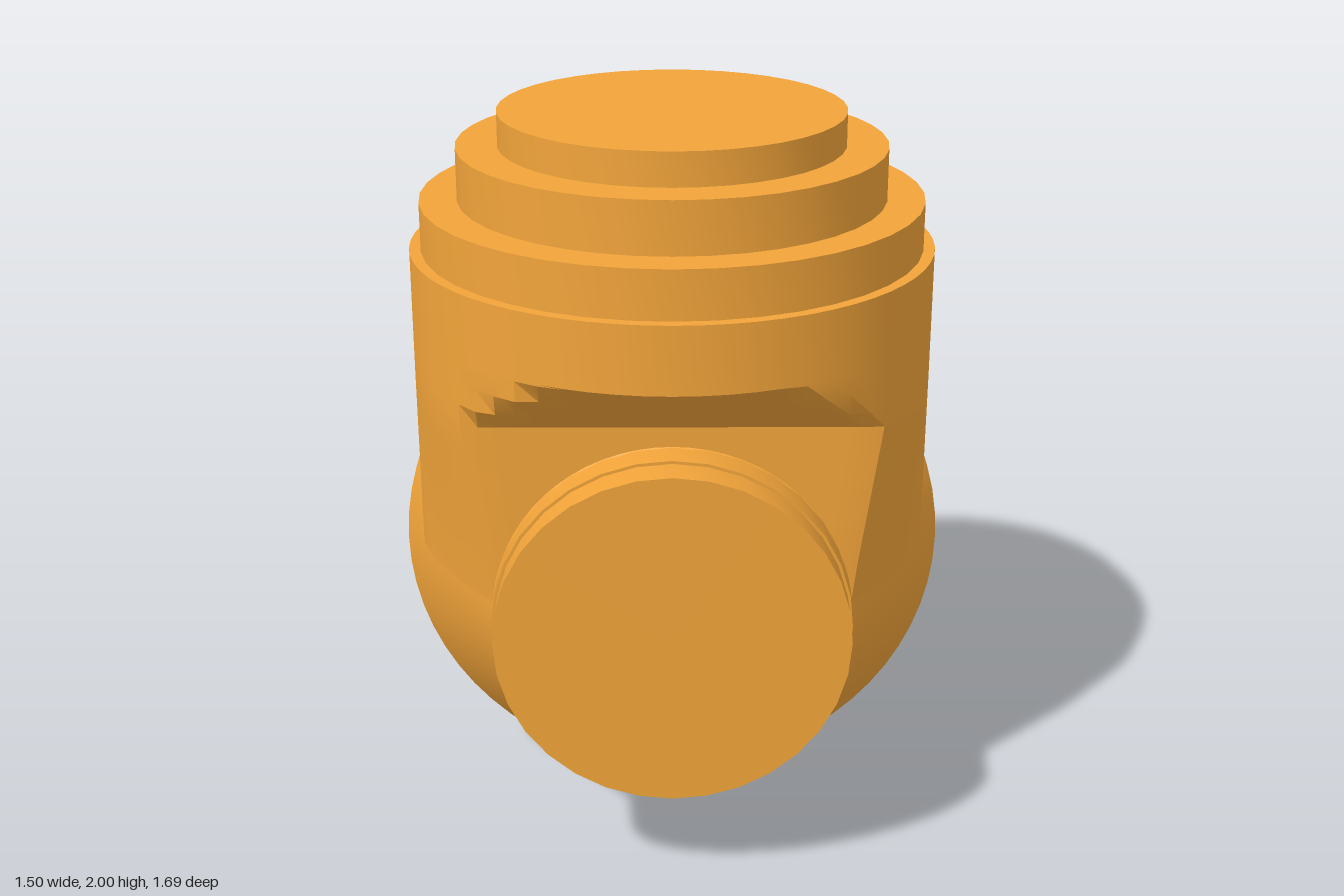
import * as THREE from 'three';
import { toCreasedNormals } from 'three/addons/utils/BufferGeometryUtils.js';

const SIDES = 64;
const AXIS_Y = 0.755; // height of the horizontal barrel axis
const COLUMN_Z = 0.14; // depth of the vertical column axis
const { clamp, lerp } = THREE.MathUtils;

// Turned solid from [radius, height] pairs listed bottom to top
function turned(profile, sides = SIDES) {
  return new THREE.LatheGeometry(profile.map(([r, h]) => new THREE.Vector2(r, h)), sides);
}

// Move each vertex by a rule
function reshape(geometry, rule) {
  const p = geometry.attributes.position;
  const v = new THREE.Vector3();
  for (let i = 0; i < p.count; i++) {
    v.fromBufferAttribute(p, i);
    rule(v);
    p.setXYZ(i, v.x, v.y, v.z);
  }
  return geometry;
}

// Back plane: upright below, leaning backwards above
const backZ = (y) => -0.32 - 0.25 * Math.max(0, (y - 0.95) / 0.555);

// Front plane of the column: flat face, sloped shoulder, then free
function frontZ(y) {
  if (y > 1.4575) return 10;
  return lerp(0.59, 0.78, clamp((y - 1.28) / 0.175, 0, 1));
}

export function createModel() {
  const group = new THREE.Group();
  const material = new THREE.MeshStandardMaterial({ color: 0xf2a43a });
  const add = (name, geometry) => {
    const mesh = new THREE.Mesh(toCreasedNormals(geometry, 0.45), material);
    mesh.name = name;
    group.add(mesh);
    return mesh;
  };

  // Barrel with a tapered nose; its back cap follows the bent back plane
  const backCap = [];
  for (let i = 0; i <= 10; i++) backCap.push([0.075 * i, -0.32]);
  const barrel = turned([...backCap, [0.75, 0.12], [0.465, 0.6]]);
  barrel.rotateX(Math.PI / 2).translate(0, AXIS_Y, 0);
  add('barrel', reshape(barrel, (v) => {
    if (v.z < -0.3) v.z = backZ(v.y);
  }));

  // Front port
  const port = turned([[0.47, 0.55], [0.47, 0.68], [0.462, 0.68], [0.462, 0.77], [0, 0.77]], 32);
  add('frontPort', port.rotateX(Math.PI / 2).translate(0, AXIS_Y, 0));

  // Rear flange and end cap, tilted very slightly
  const flange = turned([[0, -0.84], [0.46, -0.84], [0.46, -0.743], [0.69, -0.743], [0.69, -0.328], [0, -0.328]]);
  flange.rotateX(Math.PI / 2).rotateX(-0.011).translate(0, AXIS_Y + 0.002, 0);
  add('rearFlange', flange);

  // Vertical column, trimmed by the front and back planes
  const heights = [0.78, 0.9, 1.0, 1.1, 1.2, 1.28, 1.34, 1.4, 1.455, 1.46, 1.5, 1.64];
  const column = turned([[0, 0.78], ...heights.map((y) => [0.7, y]), [0, 1.64]]);
  column.translate(0, 0, COLUMN_Z);
  add('column', reshape(column, (v) => {
    const back = v.y < 1.5 ? backZ(v.y) + 0.02 : -10;
    v.z = clamp(v.z, back, frontZ(v.y));
    // Front corners narrow downwards into the nose
    const drop = clamp((1.28 - v.y) / 0.48, 0, 1);
    v.x *= 1 - 0.13 * drop * clamp((v.z - 0.2) / 0.39, 0, 1);
  }));

  // Stepped collar on top
  const collar = turned([
    [0.67, 1.62], [0.67, 1.77], [0.57, 1.77], [0.57, 1.91], [0.46, 1.91], [0.46, 2], [0, 2],
  ], 40);
  add('steppedCollar', collar.translate(0, 0, COLUMN_Z));

  return group;
}
